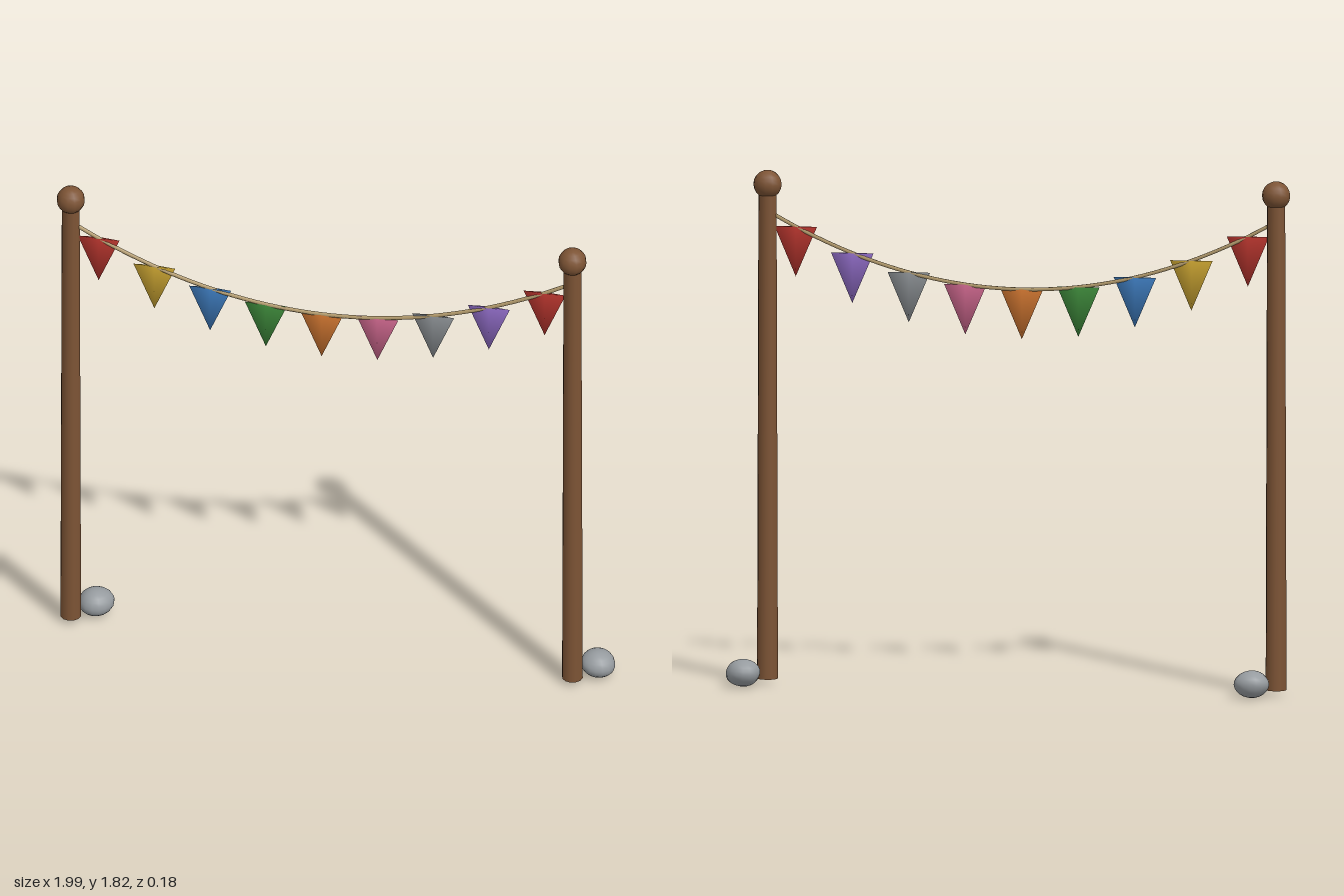
import * as THREE from 'three';
import { mergeVertices } from 'three/addons/utils/BufferGeometryUtils.js';

const mat = (name, color) => Object.assign(new THREE.MeshStandardMaterial({ color }), { name });

// Weld all corners so that normals run smoothly over caps and sides.
function weld(geometry) {
  geometry.deleteAttribute('uv');
  geometry.deleteAttribute('normal');
  const g = mergeVertices(geometry, 1e-4);
  g.computeVertexNormals();
  return g;
}

export function createModel() {
  const group = new THREE.Group();
  group.name = 'buntingBetweenPosts';

  const wood = mat('brown wood', 0x7d5435);
  const twine = mat('tan twine', 0xb39b6d);
  const grey = mat('grey', 0x969b9f);
  const red = mat('red', 0xc63a32);
  const cloths = [
    red, mat('yellow', 0xd9b036), mat('blue', 0x4385cc), mat('green', 0x439440),
    mat('orange', 0xdf7f35), mat('pink', 0xdc6f98), grey, mat('purple', 0x9a74d4), red,
  ];

  const add = (name, geometry, material, x, y, z) => {
    const m = new THREE.Mesh(geometry, material);
    m.name = name;
    m.position.set(x, y, z);
    group.add(m);
    return m;
  };

  const midX = -0.05, lineZ = 0.035, span = 0.9;
  const sagY = (x) => 1.42 + 0.32 * (x - midX) ** 2;

  // Posts with round finials
  const postGeo = weld(new THREE.CylinderGeometry(0.032, 0.037, 1.74, 12));
  const knobGeo = new THREE.SphereGeometry(0.05, 12, 10);
  // Lumpy stone, slightly skewed
  const stoneGeo = new THREE.SphereGeometry(1, 16, 12);
  const p = stoneGeo.attributes.position;
  for (let i = 0; i < p.count; i++) {
    const x = p.getX(i), y = p.getY(i), z = p.getZ(i);
    const k = 1 + 0.05 * Math.sin(2.3 * x + 1.7 * z + 0.6) + 0.03 * Math.cos(3 * y + 2 * z);
    p.setXYZ(i, x * k * 0.062, y * 0.048, z * k * 0.062);
  }
  const stone = weld(stoneGeo);

  for (const [side, s] of [['right', -1], ['left', 1]]) {
    const x = midX + s * span;
    add(side + 'Post', postGeo, wood, x, 0.89, lineZ);
    add(side + 'Knob', knobGeo, wood, x, 1.773, lineZ);
    const st = add(side + 'Stone', stone, grey, x + 0.076, 0.048, -0.03);
    st.rotation.y = s > 0 ? 1.3 : 0;
  }

  // Sagging rope
  const pts = [];
  for (let i = 0; i <= 18; i++) {
    const x = midX - span + (i / 18) * 2 * span;
    pts.push(new THREE.Vector3(x, sagY(x), lineZ));
  }
  add('rope', new THREE.TubeGeometry(new THREE.CatmullRomCurve3(pts), 48, 0.007, 6), twine, 0, 0, 0);

  // Pennants: thin, downward-pointing flattened cones
  const flagGeo = new THREE.ConeGeometry(0.075, 0.177, 4);
  flagGeo.rotateX(Math.PI);
  flagGeo.translate(0, -0.0885, 0);
  flagGeo.scale(1, 1, 0.1);
  const pennant = weld(flagGeo);
  cloths.forEach((cloth, i) => {
    const x = midX + (i - 4) * 0.2;
    add('pennant' + (i + 1), pennant, cloth, x, sagY(x), lineZ);
  });

  return group;
}
